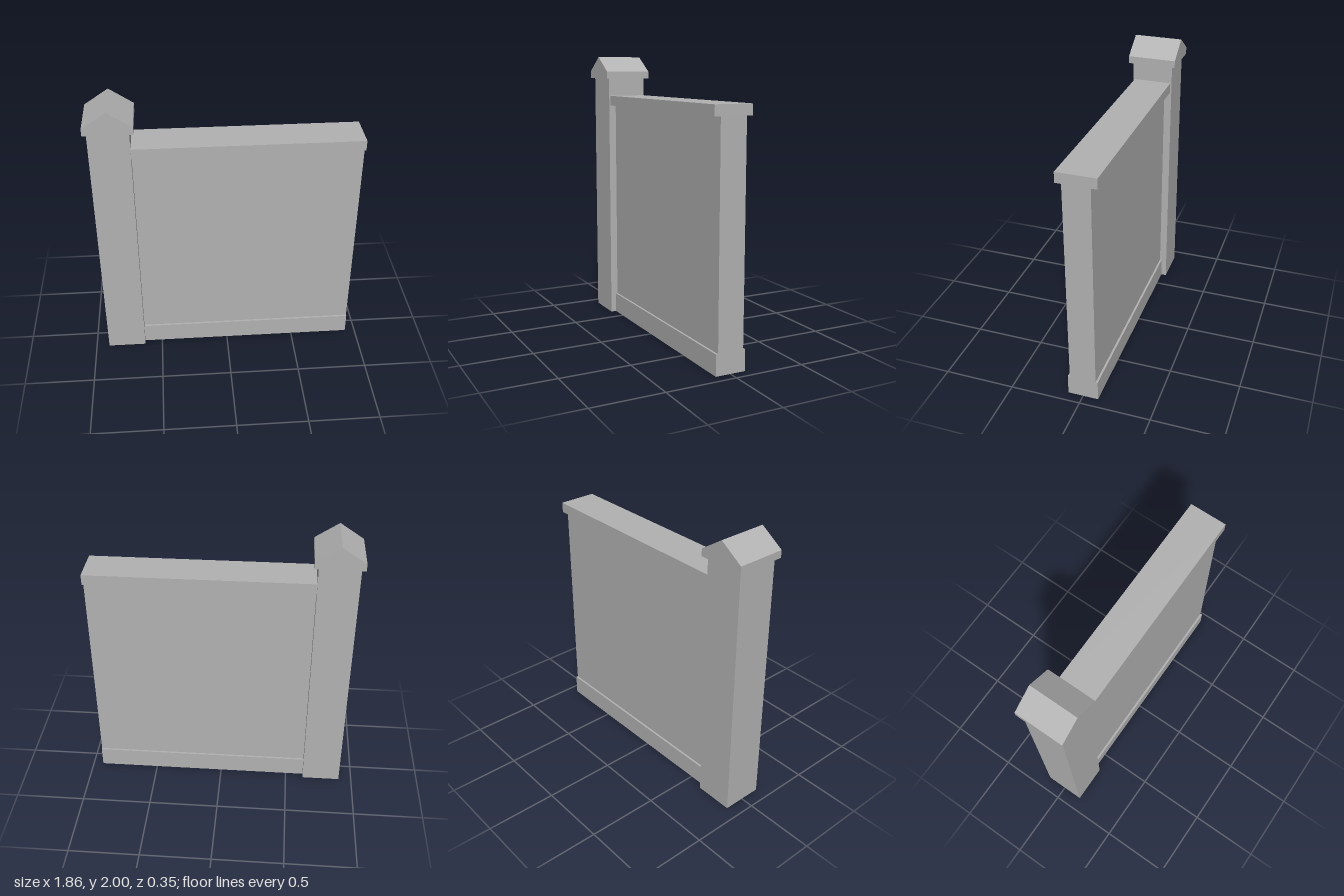
import * as THREE from 'three';

const stone = new THREE.MeshStandardMaterial({ color: 0xb2b2b2, side: THREE.DoubleSide });
stone.name = 'grey stone';

// Sweep an open outline along a straight direction as flat-shaded quads
function sweep(points, dir) {
  const pos = [];
  for (let i = 0; i < points.length - 1; i++) {
    const p = new THREE.Vector3(...points[i]), q = new THREE.Vector3(...points[i + 1]);
    const d = new THREE.Vector3(...dir);
    const p2 = p.clone().add(d), q2 = q.clone().add(d);
    for (const v of [p, q, q2, p, q2, p2]) pos.push(v.x, v.y, v.z);
  }
  const g = new THREE.BufferGeometry();
  g.setAttribute('position', new THREE.Float32BufferAttribute(pos, 3));
  g.computeVertexNormals();
  return g;
}

const outline = (pts) => pts.map(([a, b]) => new THREE.Vector2(a, b));

function flat(pts, hole) {
  const shape = new THREE.Shape(outline(pts));
  if (hole) shape.holes.push(new THREE.Path(outline(hole)));
  return new THREE.ShapeGeometry(shape);
}

export function createModel() {
  const model = new THREE.Group();
  model.name = 'wallWithPost';
  const add = (parent, name, geometry) => {
    const mesh = new THREE.Mesh(geometry, stone);
    mesh.name = name;
    parent.add(mesh);
    return mesh;
  };
  const group = (name) => {
    const g = new THREE.Group();
    g.name = name;
    model.add(g);
    return g;
  };

  const px0 = -0.905, px1 = -0.63, pz = 0.146, postTop = 1.838;
  const wallEnd = 0.927;

  // Wall section (z, y): plinth, panel and coping, open underneath
  const half = [[0.108, 0], [0.108, 0.147], [0.093, 0.147], [0.093, 1.635], [0.136, 1.635], [0.136, 1.708]];
  const section = [...half.map(([z, y]) => [-z, y]), ...half.slice().reverse()];
  const wall = group('wall');
  add(wall, 'wallFaces', sweep(section.map(([z, y]) => [px1, y, z]), [wallEnd - px1, 0, 0]));
  add(wall, 'wallEnd', flat(section).rotateY(Math.PI / 2).translate(wallEnd, 0, 0));

  // Hollow post, its inner side cut out where the wall joins
  const post = group('post');
  add(post, 'postSides', sweep(
    [[px1, 0, -pz], [px0, 0, -pz], [px0, 0, pz], [px1, 0, pz]], [0, postTop, 0]));
  const joint = [[-pz, 0], ...section, [pz, 0], [pz, postTop], [-pz, postTop]];
  add(post, 'postInnerSide', flat(joint).rotateY(Math.PI / 2).translate(px1, 0, 0));

  // Gabled cap with an overhanging soffit
  const cx0 = -0.93, cx1 = -0.602, cz = 0.173, eave = 1.89;
  const mid = (cx0 + cx1) / 2;
  const gable = [[cx1, postTop], [cx1, eave], [mid, 2], [cx0, eave], [cx0, postTop]];
  const cap = group('cap');
  add(cap, 'capRoof', sweep(gable.map(([x, y]) => [x, y, -cz]), [0, 0, 2 * cz]));
  add(cap, 'capFrontGable', flat(gable).translate(0, 0, cz));
  add(cap, 'capBackGable', flat(gable).translate(-mid, 0, 0).rotateY(Math.PI).translate(mid, 0, -cz));
  const rect = (x0, x1, z) => [[x0, -z], [x1, -z], [x1, z], [x0, z]];
  add(cap, 'capSoffit', flat(rect(cx0, cx1, cz), rect(px0, px1, pz))
    .rotateX(Math.PI / 2).translate(0, postTop, 0));

  return model;
}
